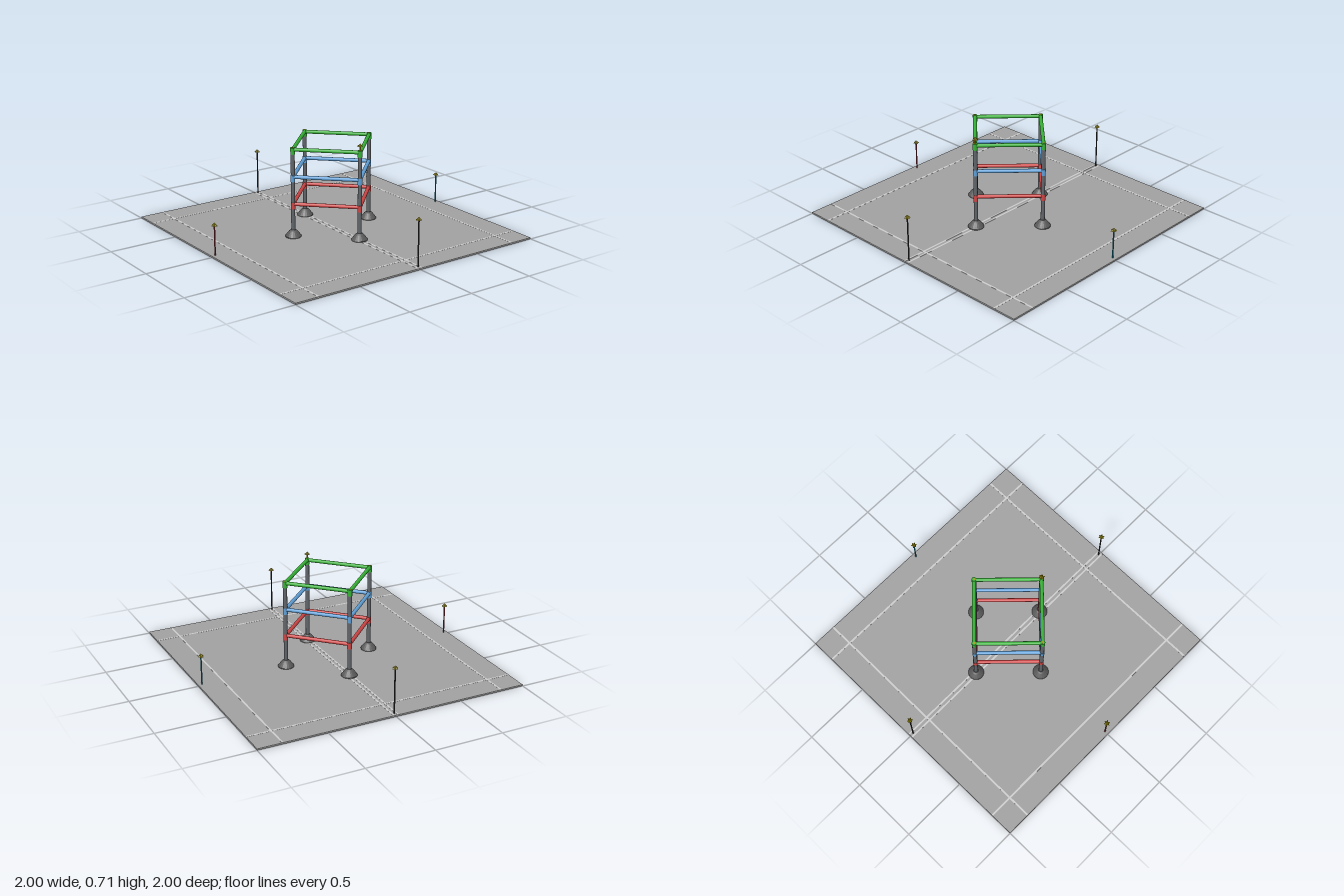
import * as THREE from 'three';

const mat = (color, flat = false) => new THREE.MeshStandardMaterial({ color, flatShading: flat });
const M = {
  floor: mat(0xa0a0a0), tape: mat(0xc0c0c0), pipe: mat(0x606468), base: mat(0x5a5a5a, true),
  gold: mat(0xa89a10, true), black: mat(0x303030), red: mat(0xcc4444), blue: mat(0x5f9fd6),
  green: mat(0x35b035), teal: mat(0x107a90), maroon: mat(0x8a3038),
};
const FLOOR = 0.011; // top of the floor
const R = 0.332; // distance of the uprights from the centre
const corners = [[R, 0], [0, R], [-R, 0], [0, -R]];

function add(parent, name, geometry, material, x = 0, y = 0, z = 0) {
  const mesh = new THREE.Mesh(geometry, material);
  mesh.name = name;
  mesh.position.set(x, y, z);
  parent.add(mesh);
  return mesh;
}

// Upright cylinder between two heights
function rod(parent, name, r, y0, y1, material, x, z, sides = 16) {
  return add(parent, name, new THREE.CylinderGeometry(r, r, y1 - y0, sides), material, x, (y0 + y1) / 2, z);
}

// Low star-shaped cone: every second rim vertex is pulled inwards
function starCap() {
  const g = new THREE.ConeGeometry(0.023, 0.023, 12);
  const p = g.attributes.position;
  for (let i = 0; i < p.count; i++) {
    const x = p.getX(i), z = p.getZ(i);
    if (Math.hypot(x, z) < 0.01) continue;
    const step = Math.round(Math.atan2(x, z) / (Math.PI / 6));
    if (step % 2) p.setXYZ(i, x * 0.58, p.getY(i), z * 0.58);
  }
  g.computeVertexNormals();
  return g;
}

export function createModel() {
  const model = new THREE.Group();
  model.name = 'playingField';

  // Floor with tape lines
  add(model, 'floor', new THREE.BoxGeometry(2, FLOOR, 2), M.floor, 0, FLOOR / 2, 0);
  const tapeY = FLOOR + 0.0002;
  for (const s of [-1, 1]) {
    add(model, 'sideTape', new THREE.BoxGeometry(0.013, 0.001, 2), M.tape, s * 0.823, tapeY, 0);
    add(model, 'endTape', new THREE.BoxGeometry(2, 0.001, 0.013), M.tape, 0, tapeY, s * 0.823);
    add(model, 'centreTape', new THREE.BoxGeometry(2, 0.001, 0.012), M.tape, 0, tapeY, s * 0.015);
  }

  // Square tower standing on its corner
  const tower = new THREE.Group();
  tower.name = 'tower';
  model.add(tower);
  const baseProfile = [[0, 0], [0.057, 0], [0.057, 0.006], [0.046, 0.022], [0.03, 0.042], [0.018, 0.052], [0, 0.052]]
    .map(([x, y]) => new THREE.Vector2(x, y));
  for (const [x, z] of corners) {
    add(tower, 'foot', new THREE.LatheGeometry(baseProfile, 20), M.base, x, FLOOR, z);
    rod(tower, 'upright', 0.0145, FLOOR, 0.645, M.pipe, x, z);
    rod(tower, 'topPlug', 0.008, 0.645, 0.661, M.gold, x, z, 8);
  }

  // Three coloured rings of rails with corner sleeves
  const levels = [[0.25, M.red, 'lowerRail'], [0.448, M.blue, 'middleRail'], [0.646, M.green, 'upperRail']];
  for (const [y, material, name] of levels) {
    corners.forEach(([x, z], i) => {
      const [x2, z2] = corners[(i + 1) % 4];
      const rail = add(tower, name, new THREE.CylinderGeometry(0.0135, 0.0135, R * Math.SQRT2, 16),
        material, (x + x2) / 2, y, (z + z2) / 2);
      rail.quaternion.setFromUnitVectors(new THREE.Vector3(0, 1, 0),
        new THREE.Vector3(x2 - x, 0, z2 - z).normalize());
      rod(tower, name + 'Sleeve', 0.0165, y - 0.034, y + 0.0135, material, x, z);
    });
  }

  // Marker on one upright
  rod(model, 'towerMarkerStem', 0.006, 0.655, 0.692, M.gold, R, 0, 8);
  add(model, 'towerMarkerCap', starCap(), M.gold, R, 0.699, 0);

  // Thin poles with star caps at the middle of each edge
  const poles = [[0.972, 0, 0.345, M.black], [-0.972, 0, 0.345, M.black],
    [0, 0.972, 0.228, M.maroon], [0, -0.972, 0.228, M.teal]];
  for (const [x, z, h, material] of poles) {
    rod(model, 'edgePole', 0.005, FLOOR, h, material, x, z, 12);
    add(model, 'edgePoleCap', starCap(), M.gold, x, h + 0.005, z);
  }
  return model;
}
